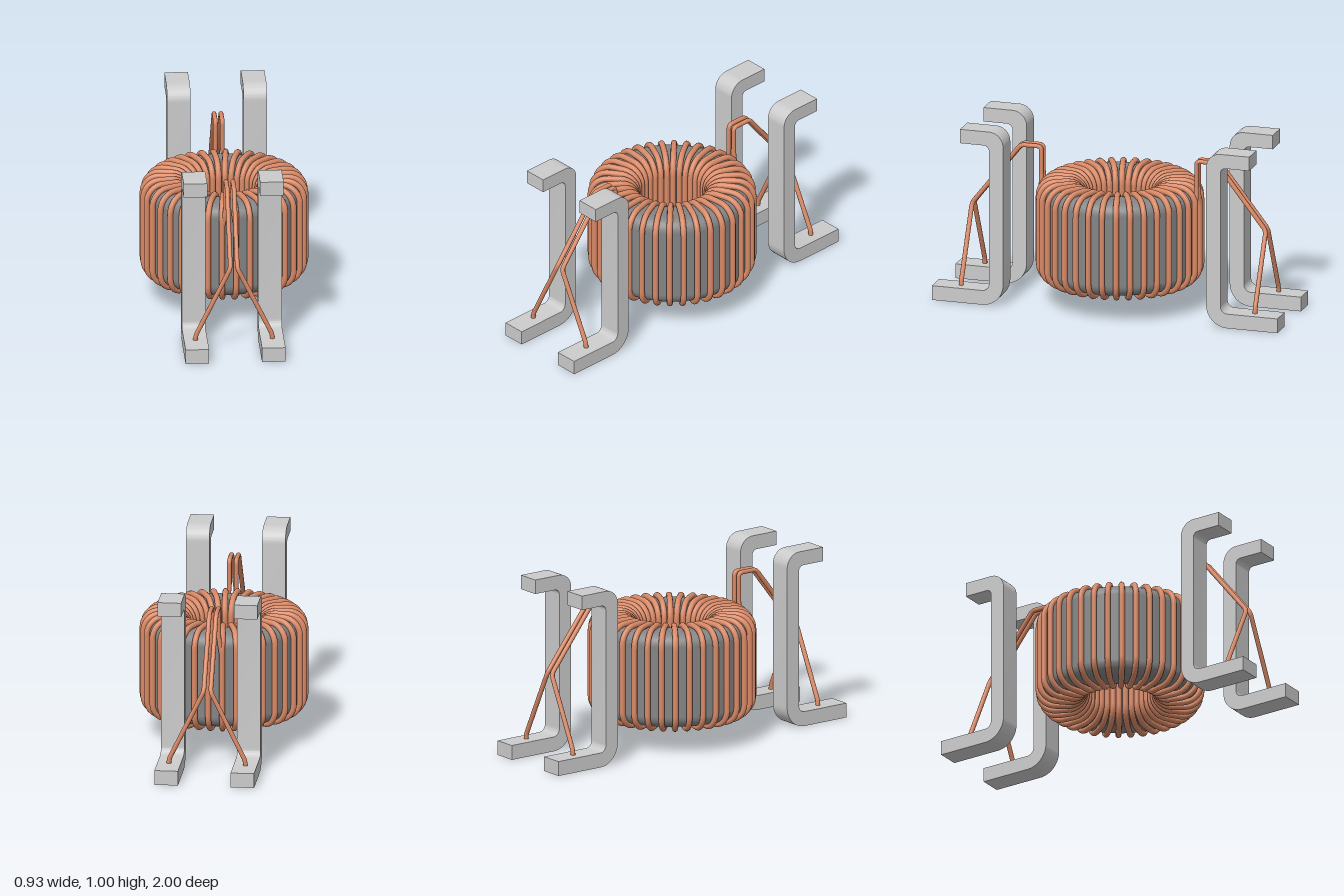
import * as THREE from 'three';
import { toCreasedNormals } from 'three/addons/utils/BufferGeometryUtils.js';

const steel = new THREE.MeshStandardMaterial({ color: 0xcccccc });
const ferrite = new THREE.MeshStandardMaterial({ color: 0x858585 });
const copper = new THREE.MeshStandardMaterial({ color: 0xda8a67 });

// Path of straight runs whose corners are rounded by radius r
function bentPath(points, r) {
  const path = new THREE.CurvePath();
  let from = points[0];
  for (let i = 1; i < points.length - 1; i++) {
    const p = points[i];
    const toPrev = points[i - 1].clone().sub(p).normalize();
    const toNext = points[i + 1].clone().sub(p).normalize();
    const at = (dir, d) => p.clone().addScaledVector(dir, d);
    path.add(new THREE.LineCurve3(from, at(toPrev, r)));
    path.add(new THREE.CubicBezierCurve3(
      at(toPrev, r), at(toPrev, r * 0.45), at(toNext, r * 0.45), at(toNext, r)));
    from = at(toNext, r);
  }
  path.add(new THREE.LineCurve3(from, points[points.length - 1]));
  return path;
}

function named(name, geometry, material) {
  const mesh = new THREE.Mesh(geometry, material);
  mesh.name = name;
  return mesh;
}

// Ring core: rounded rectangular section turned about y
function coreGeometry() {
  const inner = 0.208, outer = 0.435, low = 0.156, high = 0.694, r = 0.07;
  const s = new THREE.Path();
  s.moveTo(inner, low + r);
  s.absarc(inner + r, low + r, r, Math.PI, Math.PI * 1.5, false);
  s.absarc(outer - r, low + r, r, -Math.PI / 2, 0, false);
  s.absarc(outer - r, high - r, r, 0, Math.PI / 2, false);
  s.absarc(inner + r, high - r, r, Math.PI / 2, Math.PI, false);
  s.lineTo(inner, low + r);
  return new THREE.LatheGeometry(s.getPoints(6), 72);
}

// One wire turn around the core section, lying in the x-y plane
function turnGeometry() {
  const inner = 0.195, outer = 0.449, low = 0.142, high = 0.708;
  const v = (x, y) => new THREE.Vector3(x, y, 0);
  const path = bentPath([v(outer, 0.42), v(outer, high), v(inner, high),
    v(inner, low), v(outer, low), v(outer, 0.42)], 0.095);
  return new THREE.TubeGeometry(path, 72, 0.0165, 10, false);
}

// Bent terminal strip: side profile in (z, y), extruded along x
function terminalGeometry() {
  const width = 0.13, P = Math.PI;
  const s = new THREE.Shape();
  s.moveTo(1, 0);
  s.lineTo(1, 0.082);
  s.lineTo(0.71, 0.082);
  s.absarc(0.71, 0.122, 0.04, -P / 2, -P, true);
  s.lineTo(0.67, 0.89);
  s.absarc(0.7, 0.89, 0.03, P, P / 2, true);
  s.lineTo(0.837, 0.92);
  s.lineTo(0.837, 1);
  s.lineTo(0.67, 1);
  s.absarc(0.67, 0.918, 0.082, P / 2, P, false);
  s.lineTo(0.588, 0.122);
  s.absarc(0.71, 0.122, 0.122, P, P * 1.5, false);
  s.lineTo(1, 0);
  const g = new THREE.ExtrudeGeometry(s, { depth: width, bevelEnabled: false, curveSegments: 10 });
  g.translate(0, 0, -width / 2).rotateY(-Math.PI / 2);
  return toCreasedNormals(g, 0.6);
}

// Wire end: up from the winding, out, then down and sideways to the foot
function leadGeometry(side) {
  const v = (x, y, z) => new THREE.Vector3(side * x, y, z);
  const path = bentPath([v(0.034, 0.6, 0.449), v(0.019, 0.7, 0.449), v(0.019, 0.862, 0.449),
    v(0.019, 0.862, 0.567), v(0.019, 0.5, 0.85), v(0.212, 0.105, 0.85),
    v(0.212, 0.07, 0.85)], 0.02);
  return new THREE.TubeGeometry(path, 130, 0.013, 10, false);
}

export function createModel() {
  const model = new THREE.Group();
  model.name = 'toroidalCoil';
  model.add(named('core', coreGeometry(), ferrite));

  // Winding
  const winding = new THREE.Group();
  winding.name = 'winding';
  const turn = turnGeometry();
  const turns = 36;
  for (let i = 0; i < turns; i++) {
    const mesh = named('turn', turn, copper);
    mesh.rotation.y = ((i + 0.5) / turns) * Math.PI * 2;
    winding.add(mesh);
  }
  model.add(winding);

  // Terminals and leads, front and back
  const terminal = terminalGeometry();
  for (const end of ['front', 'back']) {
    const group = new THREE.Group();
    group.name = end + 'Connections';
    for (const side of [-1, 1]) {
      const strip = named('terminal', terminal, steel);
      strip.position.x = side * 0.211;
      group.add(strip, named('lead', leadGeometry(side), copper));
    }
    if (end === 'back') group.rotation.y = Math.PI;
    model.add(group);
  }
  return model;
}
